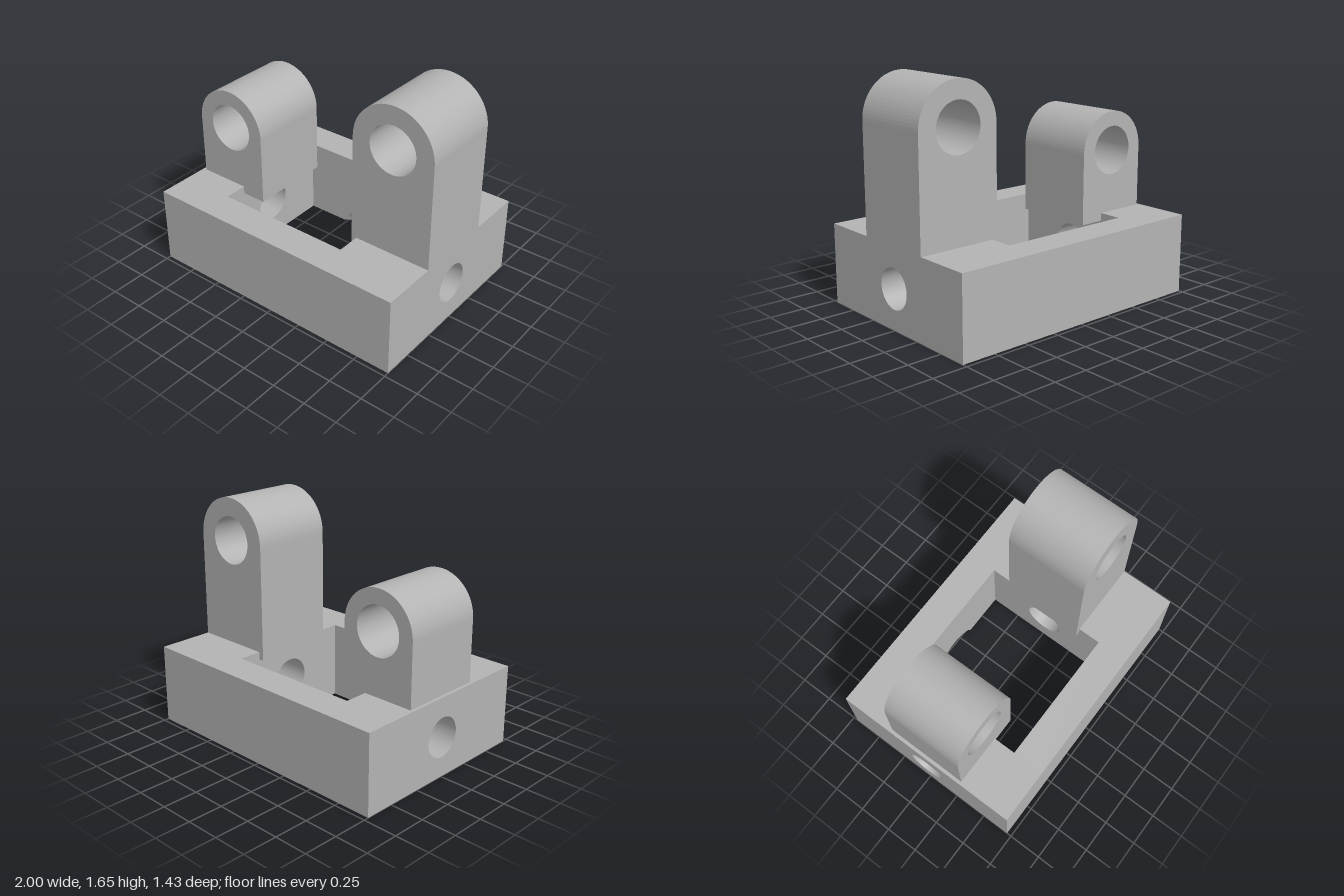
import * as THREE from 'three';
import { ParametricGeometry } from 'three/addons/geometries/ParametricGeometry.js';

const H = 0.575, HALF_Z = 0.715, OPEN_Z = 0.475; // base height, half depth, opening half depth
const OPEN_L = -0.595, OPEN_R = 0.425;           // opening ends along x
const MID = (OPEN_L + OPEN_R) / 2, HALF_X = (OPEN_R - OPEN_L) / 2;

export function createModel() {
  const model = new THREE.Group();
  const grey = new THREE.MeshStandardMaterial({ color: 0xb3b3b3, side: THREE.DoubleSide });
  grey.name = 'machinedGrey';

  const add = (parent, name, geometry) => {
    const mesh = new THREE.Mesh(geometry, grey);
    mesh.name = name;
    parent.add(mesh);
    return mesh;
  };
  const polygon = (points) => new THREE.Shape(points.map(([x, y]) => new THREE.Vector2(x, y)));
  const addHole = (shape, x, y, r) =>
    shape.holes.push(new THREE.Path().absarc(x, y, r, 0, Math.PI * 2, true));
  const extrude = (shape, depth) =>
    new THREE.ExtrudeGeometry(shape, { depth, bevelEnabled: false, curveSegments: 32 });

  // End blocks of the base, each cross-drilled along x
  for (const [name, x0, x1] of [['baseRightEnd', -1, OPEN_L], ['baseLeftEnd', OPEN_R, 1]]) {
    const shape = polygon([[-HALF_Z, 0], [HALF_Z, 0], [HALF_Z, H], [-HALF_Z, H]]);
    addHole(shape, 0, H / 2, 0.143);
    const block = add(model, name, extrude(shape, x1 - x0));
    block.rotation.y = Math.PI / 2;
    block.position.x = x0;
  }

  // Side bars, each with a shallow round recess at the inner lower edge
  const R = 0.253, yc = -0.07, zc = 0.32, dz = OPEN_Z - zc;
  const half = Math.sqrt(R * R - yc * yc - dz * dz);
  const wallY = (x) => yc + Math.sqrt(R * R - x * x - dz * dz);
  const floorZ = (x) => zc + Math.sqrt(R * R - x * x - yc * yc);
  const notched = (rise, near, far) => {
    const points = [[-HALF_X, near]];
    for (let i = 0; i <= 24; i++) {
      const x = -half + (2 * half * i) / 24;
      points.push([x, rise(x)]);
    }
    points.push([HALF_X, near], [HALF_X, far], [-HALF_X, far]);
    return new THREE.ShapeGeometry(polygon(points));
  };
  const recess = (u, v, target) => {
    const x = half * (2 * u - 1);
    const a0 = Math.atan2(wallY(x) - yc, dz);
    const a1 = Math.atan2(-yc, floorZ(x) - zc);
    const a = a0 + (a1 - a0) * v, r = Math.sqrt(R * R - x * x);
    target.set(x, yc + r * Math.sin(a), zc + r * Math.cos(a));
  };
  for (const [name, turn] of [['baseFrontBar', 0], ['baseBackBar', Math.PI]]) {
    const bar = new THREE.Group();
    bar.name = name;
    bar.position.x = MID;
    bar.rotation.y = turn;
    model.add(bar);
    const outer = add(bar, 'outerFace', new THREE.PlaneGeometry(2 * HALF_X, H));
    outer.position.set(0, H / 2, HALF_Z);
    const top = add(bar, 'topFace', new THREE.PlaneGeometry(2 * HALF_X, HALF_Z - OPEN_Z));
    top.rotation.x = -Math.PI / 2;
    top.position.set(0, H, (HALF_Z + OPEN_Z) / 2);
    const flip = (g) => { // reverse the face order
      const index = g.index.array;
      for (let i = 0; i < index.length; i += 3)
        [index[i], index[i + 1]] = [index[i + 1], index[i]];
      g.computeVertexNormals();
      return g;
    };
    add(bar, 'innerFace', flip(notched(wallY, 0, H))).position.z = OPEN_Z;
    add(bar, 'bottomFace', notched(floorZ, OPEN_Z, HALF_Z)).rotation.x = Math.PI / 2;
    add(bar, 'roundRecess', new ParametricGeometry(recess, 24, 10));
  }

  // Round-topped lugs with a small tongue hanging into the opening
  const lug = (name, cx, cy, r, side, wall) => {
    const inner = cx - side * r, outer = cx + side * r, low = 0.518;
    const points = [[outer, H], [wall, H], [wall, low], [inner, low]];
    for (let i = 0; i <= 40; i++) {
      const a = Math.PI * (1 - i / 40);
      points.push([cx + side * r * Math.cos(a), cy + r * Math.sin(a)]);
    }
    const shape = polygon(points);
    addHole(shape, cx, cy, 0.175);
    add(model, name, extrude(shape, 0.61)).position.z = -0.305;
  };
  lug('shortLug', -0.693, 1.025, 0.283, -1, OPEN_L);
  lug('tallLug', 0.693, 1.348, 0.307, 1, OPEN_R);

  return model;
}
